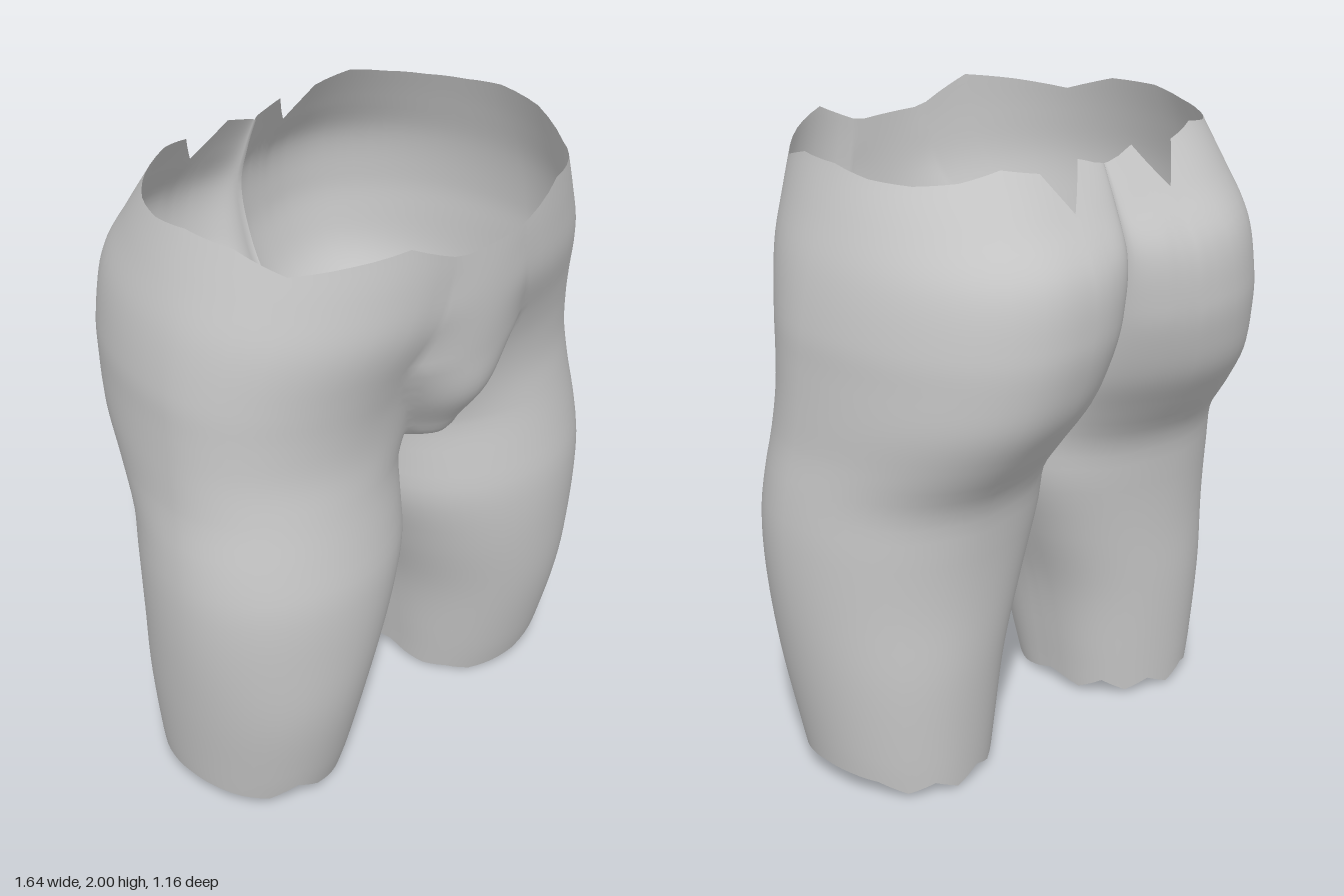
import * as THREE from 'three';
import { mergeGeometries, mergeVertices } from 'three/addons/utils/BufferGeometryUtils.js';

// Body sections: y, front lobe x, back lobe x, inner x, outer x, widest z, front z, back z, front valley z, back cleft z
const SECTIONS = [
  [0.00, 0.47, 0.47, 0.205, 0.73, 0.05, 0.33, -0.26, 0.08, 0.02],
  [0.12, 0.47, 0.47, 0.19, 0.75, 0.05, 0.37, -0.27, 0.09, 0.02],
  [0.40, 0.46, 0.46, 0.145, 0.79, 0.08, 0.44, -0.29, 0.10, 0.03],
  [0.65, 0.43, 0.43, 0.065, 0.815, 0.11, 0.47, -0.30, 0.11, 0.03],
  [0.85, 0.42, 0.42, 0.002, 0.82, 0.12, 0.475, -0.32, 0.11, 0.03],
  [1.00, 0.41, 0.41, 0.001, 0.808, 0.11, 0.455, -0.35, 0.11, 0.00],
  [1.13, 0.40, 0.40, 0.00, 0.79, 0.09, 0.435, -0.44, 0.11, -0.08],
  [1.27, 0.37, 0.37, 0.00, 0.782, 0.07, 0.425, -0.53, 0.24, -0.23],
  [1.40, 0.34, 0.34, 0.00, 0.777, 0.06, 0.44, -0.57, 0.35, -0.34],
  [1.52, 0.29, 0.32, 0.00, 0.772, 0.05, 0.475, -0.585, 0.44, -0.41],
  [1.70, 0.20, 0.30, 0.00, 0.742, 0.04, 0.545, -0.565, 0.545, -0.455],
  [1.85, 0.16, 0.28, 0.00, 0.695, 0.03, 0.565, -0.475, 0.565, -0.42],
  [2.00, 0.14, 0.26, 0.00, 0.64, 0.03, 0.57, -0.38, 0.57, -0.36],
];
// Front bulge: y, centre z, half width, edge softness
const BULGE = [
  [1.13, 0.13, 0.03, 0.5], [1.16, 0.30, 0.08, 0.5], [1.20, 0.40, 0.125, 0.55], [1.27, 0.45, 0.155, 0.6],
  [1.40, 0.535, 0.21, 0.7], [1.55, 0.56, 0.28, 1], [1.75, 0.578, 0.30, 1.2], [2.00, 0.576, 0.30, 1.2],
];
// Ragged edge heights, evenly spaced from the front middle round the outside to the back middle
const TOP = [1.91, 1.91, 1.91, 1.91, 1.91, 1.92, 1.99, 1.965, 1.935, 1.985, 1.99, 1.97, 1.965, 1.975, 2, 1.975, 1.86, 1.985, 1.965, 1.955, 1.95];
const HEM = [0.03, 0.015, 0.02, 0.005, 0.02, 0.04, 0.09, 0.04, 0.05, 0.065, 0.075, 0.07, 0.06, 0.02, 0.05, 0.01, 0.05, 0.02, 0.06, 0.02, 0.05];

const CROTCH = 1.13, SEG = 15, INNER = 5, OUTER = 4 * SEG;

// Smooth interpolation of a table whose first column is y
function sample(table, y) {
  let i = 0;
  while (i < table.length - 2 && y > table[i + 1][0]) i++;
  const a = table[i], b = table[i + 1], h = b[0] - a[0];
  const t = THREE.MathUtils.clamp((y - a[0]) / h, 0, 1);
  const before = table[Math.max(i - 1, 0)], after = table[Math.min(i + 2, table.length - 1)];
  return a.map((v, k) => {
    const m0 = (b[k] - before[k]) / (b[0] - before[0]) * h;
    const m1 = (after[k] - a[k]) / (after[0] - a[0]) * h;
    const t2 = t * t, t3 = t2 * t;
    return (2 * t3 - 3 * t2 + 1) * v + (t3 - 2 * t2 + t) * m0 + (3 * t2 - 2 * t3) * b[k] + (t3 - t2) * m1;
  });
}

function edge(list, u) {
  const f = u * (list.length - 1), i = Math.min(Math.floor(f), list.length - 2);
  return THREE.MathUtils.lerp(list[i], list[i + 1], f - i);
}

// Point on the left half: columns 0..OUTER run round the outside, later ones close the inner thigh
function point(col, y) {
  const [, cf, cb, xi, xo, zm, zf, zb, zv, zc] = sample(SECTIONS, y);
  if (col > OUTER) return [xi, y, THREE.MathUtils.lerp(zc, zv, (col - OUTER) / INNER)];
  const quarter = Math.min(Math.floor(col / SEG), 3);
  const a = (col / SEG - quarter) * Math.PI / 2, s = Math.sin(a), c = Math.cos(a);
  if (quarter === 1) return [cf + (xo - cf) * s, y, zm + (zf - zm) * c];
  if (quarter === 2) return [cb + (xo - cb) * c, y, zm + (zb - zm) * s];
  if (quarter === 3) return [cb - (cb - xi) * s, y, zc + (zb - zc) * Math.pow(Math.max(c, 0), 0.75)];
  const x = cf - (cf - xi) * c;
  let z = zv + (zf - zv) * s;
  if (y > CROTCH + 0.001) {
    const [, zp, width, soft] = sample(BULGE, y);
    const w = Math.min(width, cf);
    if (x < w) z = Math.max(z, zv + (zp - zv) * Math.pow(1 - (x / w) ** 2, soft));
  }
  return [x, y, z];
}

// Grid of quads for one half; side = 1 is left, -1 is right
function panel(side, cols, rows, heightAt) {
  const pos = [], index = [], n = cols + 1;
  for (let r = 0; r <= rows; r++) {
    for (let c = 0; c <= cols; c++) {
      const [x, y, z] = point(c, heightAt(c, r / rows));
      pos.push(x * side, y, z);
    }
  }
  for (let r = 0; r < rows; r++) {
    for (let c = 0; c < cols; c++) {
      const a = r * n + c, b = a + 1, d = a + n, e = d + 1;
      if (side > 0) index.push(a, b, e, a, e, d);
      else index.push(a, e, b, a, d, e);
    }
  }
  const g = new THREE.BufferGeometry();
  g.setAttribute('position', new THREE.Float32BufferAttribute(pos, 3));
  g.setIndex(index);
  return g;
}

export function createModel() {
  const grey = new THREE.MeshStandardMaterial({ color: 0xc8c8c8, side: THREE.DoubleSide });
  grey.name = 'grey';
  const model = new THREE.Group();
  model.name = 'tornShorts';

  const hem = (c) => c <= OUTER ? edge(HEM, c / OUTER)
    : THREE.MathUtils.lerp(HEM[HEM.length - 1], HEM[0], (c - OUTER) / INNER);
  const parts = [];
  for (const side of [1, -1]) {
    // Leg: closed tube from the ragged hem to the crotch
    parts.push(panel(side, OUTER + INNER, 24, (c, t) => THREE.MathUtils.lerp(hem(c), CROTCH, t)));
    // Hip: open shell from the crotch to the ragged waist
    parts.push(panel(side, OUTER, 30, (c, t) => THREE.MathUtils.lerp(CROTCH, edge(TOP, c / OUTER), t)));
  }
  // Weld the halves so the shading runs smoothly across the seams
  const cloth = mergeVertices(mergeGeometries(parts), 1e-4);
  cloth.computeVertexNormals();
  const shell = new THREE.Mesh(cloth, grey);
  shell.name = 'shortsShell';
  model.add(shell);
  return model;
}
